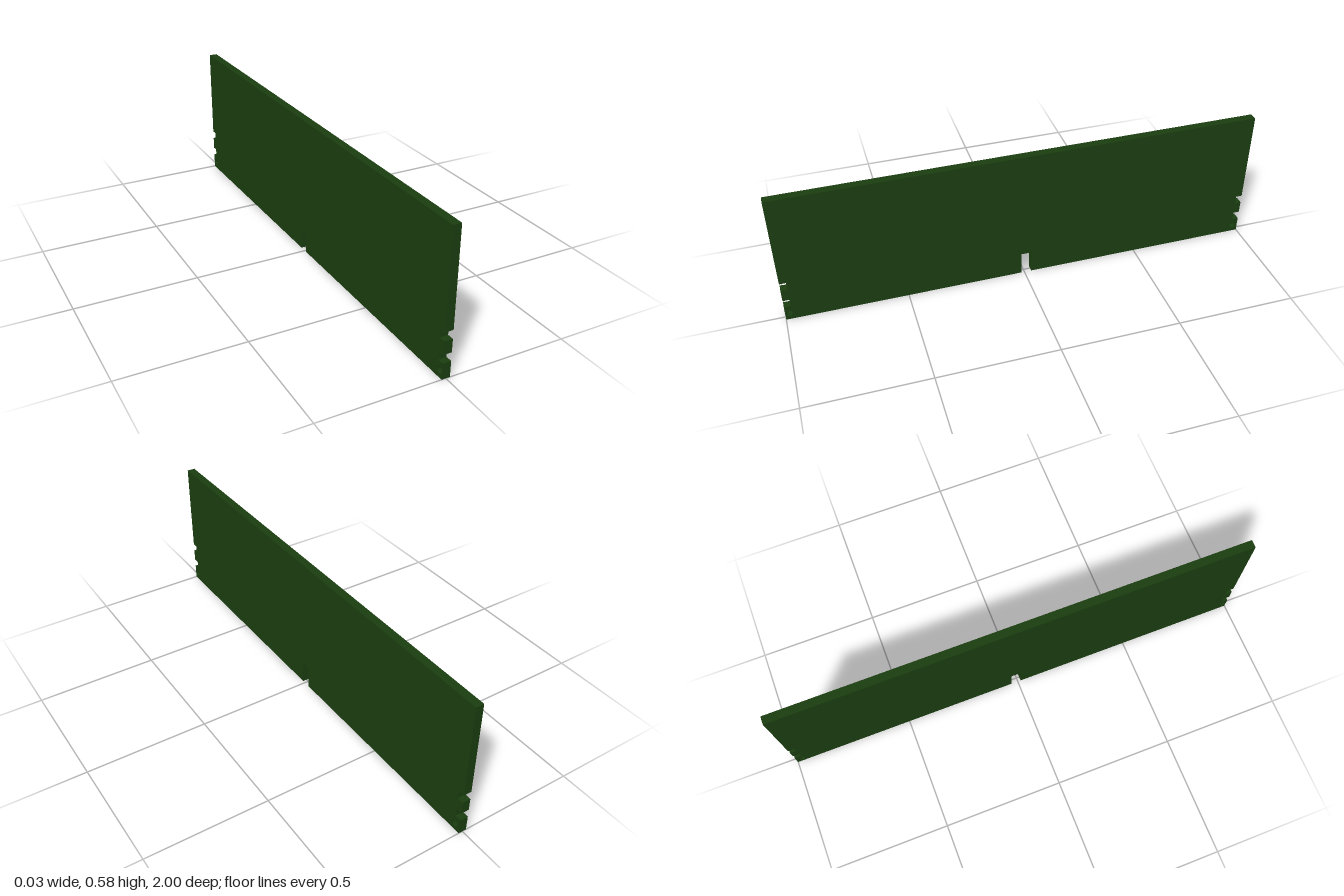
import * as THREE from 'three';

const HEIGHT = 0.583, THICKNESS = 0.034;
const NOTCH_DEPTH = 0.027;
const SIDE_NOTCHES = [[0.065, 0.1], [0.153, 0.188]]; // bottom and top of each
const SLOT = { from: -0.013, to: 0.03, height: 0.1 };
const HOLES = [-0.984, 0.977];

export function createModel() {
  const group = new THREE.Group();
  group.name = 'notchedPanel';

  // Points up one end of the panel, stepping in at each notch
  const endEdge = (side) => SIDE_NOTCHES.flatMap(([low, high]) => [
    [side, low], [side * (1 - NOTCH_DEPTH), low],
    [side * (1 - NOTCH_DEPTH), high], [side, high],
  ]);

  // Outline: bottom edge with its slot, then the two notched ends
  const outline = [
    [-1, 0], [SLOT.from, 0], [SLOT.from, SLOT.height], [SLOT.to, SLOT.height], [SLOT.to, 0], [1, 0],
    ...endEdge(1),
    [1, HEIGHT], [-1, HEIGHT],
    ...endEdge(-1).reverse(),
  ];
  const shape = new THREE.Shape(outline.map(([s, y]) => new THREE.Vector2(s, y)));

  // Small round holes in the lower corners
  for (const s of HOLES) {
    shape.holes.push(new THREE.Path().absarc(s, 0.03, 0.0135, 0, Math.PI * 2, true));
  }

  // Extrude the thickness and turn the panel to run along z
  const geometry = new THREE.ExtrudeGeometry(shape, { depth: THICKNESS, bevelEnabled: false, curveSegments: 24 });
  geometry.translate(0, 0, -THICKNESS / 2);
  geometry.rotateY(Math.PI / 2);

  const panel = new THREE.Mesh(geometry, new THREE.MeshStandardMaterial({ color: 0x1a3d10 }));
  panel.name = 'panel';
  group.add(panel);
  return group;
}
